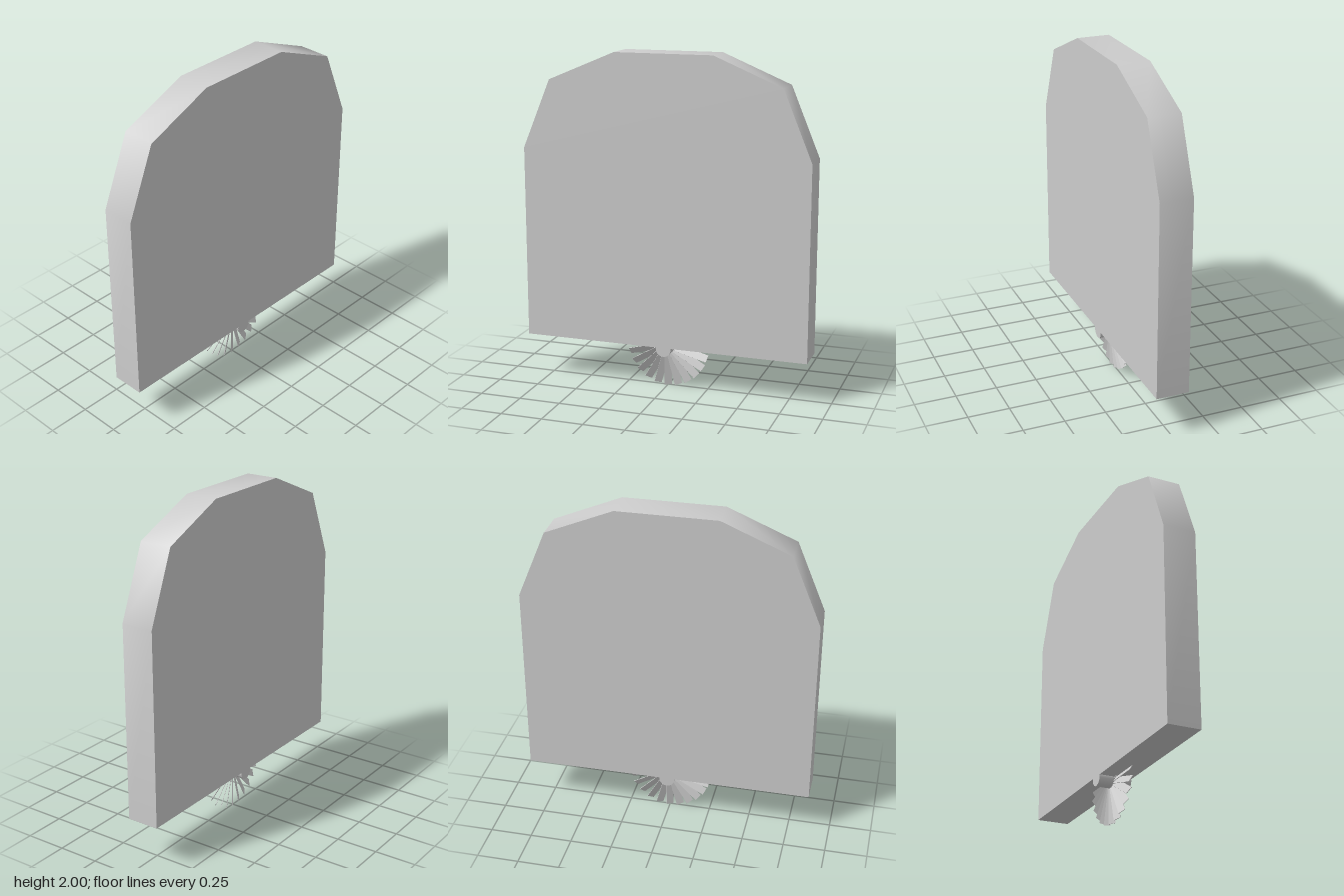
import * as THREE from 'three';
import { toCreasedNormals } from 'three/addons/utils/BufferGeometryUtils.js';

const material = new THREE.MeshStandardMaterial({ color: 0xcccccc });
const DEPTH = 0.195;
const HUB_Y = 0.252;

function named(name, geometry) {
  const mesh = new THREE.Mesh(geometry, material);
  mesh.name = name;
  return mesh;
}

// Thick slab with a faceted arched top
function makeSlab() {
  const half = [[0.87, 0.26], [0.87, 1.42], [0.7, 1.83], [0.295, 2]];
  const outline = [...half, ...half.map(([x, y]) => [-x, y]).reverse()];
  const shape = new THREE.Shape(outline.map(([x, y]) => new THREE.Vector2(x, y)));
  const geometry = new THREE.ExtrudeGeometry(shape, { depth: DEPTH, bevelEnabled: false });
  geometry.translate(0, 0, -DEPTH / 2);
  return named('archedSlab', toCreasedNormals(geometry, 0.9));
}

// Wheel of pitched blades around a hub, half sunk into the slab
function makeWheel() {
  const wheel = new THREE.Group();
  wheel.name = 'bladeWheel';
  wheel.position.y = HUB_Y;

  const hub = new THREE.CylinderGeometry(0.046, 0.046, DEPTH, 32);
  hub.rotateX(Math.PI / 2);
  wheel.add(named('hub', hub));

  const count = 24, inner = 0.035, outer = 0.252;
  const blade = new THREE.BoxGeometry(outer - inner, 0.045, 0.003);
  blade.rotateX(-Math.PI / 6);
  blade.translate((inner + outer) / 2, 0, 0);
  for (let i = 0; i < count; i++) {
    const mesh = named('blade', blade);
    mesh.rotation.z = (i / count) * Math.PI * 2;
    wheel.add(mesh);
  }
  return wheel;
}

export function createModel() {
  const model = new THREE.Group();
  model.name = 'archedSlabWithWheel';
  model.add(makeSlab(), makeWheel());
  return model;
}
